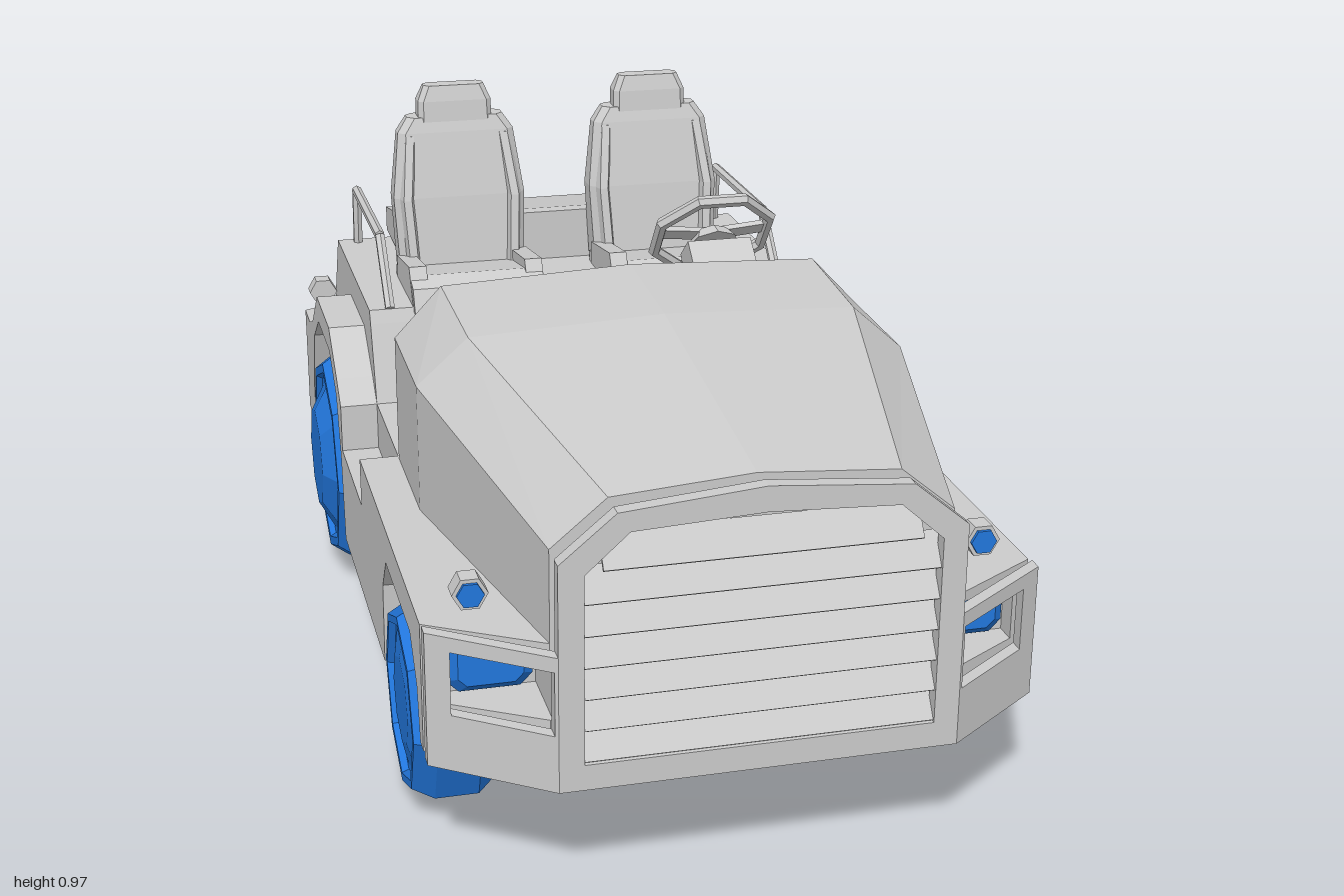
import * as THREE from 'three';

const grey = new THREE.MeshStandardMaterial({ color: 0xcccccc, flatShading: true, side: THREE.DoubleSide });
const blue = new THREE.MeshStandardMaterial({ color: 0x2277dd, flatShading: true });
const V = (x, y, z) => new THREE.Vector3(x, y, z);

function add(parent, name, geo, mat = grey) {
  const m = new THREE.Mesh(geo, mat);
  m.name = name;
  parent.add(m);
  return m;
}
const shapeOf = pts => new THREE.Shape(pts.map(p => new THREE.Vector2(p[0], p[1])));
const extrude = (shape, depth) => new THREE.ExtrudeGeometry(shape, { depth, bevelEnabled: false });
// profile of [z, y] points extruded from x0 to x1
const side = (pts, x0, x1) => extrude(shapeOf(pts), x1 - x0).rotateY(-Math.PI / 2).translate(x1, 0, 0);
// plan of [x, z] points extruded from y0 to y1
const plan = (pts, y0, y1) => extrude(shapeOf(pts.map(p => [p[0], -p[1]])), y1 - y0).rotateX(-Math.PI / 2).translate(0, y0, 0);
const mirrored = pts => [...pts, ...pts.map(p => [-p[0], p[1]]).reverse()];
const box = (x0, x1, y0, y1, z0, z1) =>
  new THREE.BoxGeometry(x1 - x0, y1 - y0, z1 - z0).translate((x0 + x1) / 2, (y0 + y1) / 2, (z0 + z1) / 2);

// straight round bar between two points
function bar(a, b, r, n = 6) {
  const d = b.clone().sub(a);
  const q = new THREE.Quaternion().setFromUnitVectors(V(0, 1, 0), d.clone().normalize());
  const mid = a.clone().add(b).multiplyScalar(0.5);
  return new THREE.CylinderGeometry(r, r, d.length(), n).applyQuaternion(q).translate(mid.x, mid.y, mid.z);
}

// skin through equal rings, closed at both ends
function loft(rings) {
  const pos = [], n = rings[0].length;
  const tri = (...ps) => ps.forEach(p => pos.push(p.x, p.y, p.z));
  for (let i = 0; i < rings.length - 1; i++)
    for (let j = 0; j < n; j++) {
      const k = (j + 1) % n, [p, q] = [rings[i], rings[i + 1]];
      tri(p[j], p[k], q[k]);
      tri(p[j], q[k], q[j]);
    }
  const first = rings[0], last = rings[rings.length - 1];
  for (let j = 1; j < n - 1; j++) {
    tri(first[0], first[j + 1], first[j]);
    tri(last[0], last[j], last[j + 1]);
  }
  const g = new THREE.BufferGeometry();
  g.setAttribute('position', new THREE.Float32BufferAttribute(pos, 3));
  g.computeVertexNormals();
  return g;
}
// upright loft with chamfered rings: [y, half width, z centre, half depth]
const cushionLoft = (rows, c = 0.014) => loft(rows.map(([y, w, z, d]) => [
  [w, d - c], [w, c - d], [w - c, -d], [c - w, -d], [-w, c - d], [-w, d - c], [c - w, d], [w - c, d],
].map(([px, pz]) => V(px, y, z + pz))));

// eight-sided wheel; dome is how far the hub stands out past the tyre
function wheel(name, R, h, dome, x, y, z) {
  const g = new THREE.Group();
  g.name = name;
  const pts = [[0, -h], [0.82 * R, -h], [R, -h * 0.5], [R, h * 0.5], [0.88 * R, h], [0.8 * R, h],
    [0.77 * R, h - 0.012], [0.71 * R, h - 0.012], [0.45 * R, h + dome], [0, h + dome]];
  add(g, 'tyreAndHub', new THREE.LatheGeometry(pts.map(p => new THREE.Vector2(...p)), 8).rotateZ(-Math.PI / 2), blue);
  g.position.set(x, y, z);
  if (x < 0) g.rotation.y = Math.PI;
  return g;
}

function seat(x) {
  const g = new THREE.Group();
  g.name = 'seat';
  add(g, 'seatCushion', side([[-0.16, 0.59], [-0.18, 0.635], [-0.22, 0.65], [-0.4, 0.62], [-0.4, 0.59]], -0.13, 0.13));
  add(g, 'seatBack', cushionLoft([[0.6, 0.125, -0.395, 0.042], [0.76, 0.132, -0.411, 0.036],
    [0.885, 0.116, -0.432, 0.028], [0.914, 0.096, -0.437, 0.024]]));
  add(g, 'headrest', cushionLoft([[0.905, 0.074, -0.436, 0.026], [0.945, 0.073, -0.44, 0.026], [0.975, 0.06, -0.44, 0.018]], 0.01));
  for (const s of [-1, 1]) {
    const back = [[0.61, 0.1, -0.37, 0.034], [0.76, 0.108, -0.388, 0.028], [0.88, 0.094, -0.42, 0.018]];
    add(g, 'backBolster', loft(back.map(([y, px, z, d]) => [[0.018, 0], [0.01, -d], [-0.012, -d], [-0.016, 0], [-0.008, d], [0.008, d]]
      .map(([ox, oz]) => V(s * px + ox, y, z + oz)))));
    add(g, 'cushionBolster', side([[-0.18, 0.6], [-0.22, 0.668], [-0.38, 0.645], [-0.38, 0.6]], -0.017, 0.017).translate(s * 0.114, 0, 0));
  }
  g.position.x = x;
  return g;
}

export function createModel() {
  const root = new THREE.Group();
  root.name = 'towTractor';

  // lower body: centre, nose with lamp pockets, tail
  add(root, 'chassis', side([[0.83, 0.21], [0.78, 0.21], [0.68, 0.15], [-0.45, 0.15], [-0.58, 0.21], [-0.66, 0.21], [-0.66, 0.43], [0.83, 0.43]], -0.3, 0.3));
  const nose = mirrored([[0.5, 0.8], [0.5, 0.83], [0.32, 0.94]]);
  add(root, 'noseLower', plan(nose, 0.21, 0.3));
  add(root, 'noseUpper', plan(nose, 0.412, 0.43));
  add(root, 'noseMiddle', plan(mirrored([[0.5, 0.8], [0.5, 0.83], [0.468, 0.85], [0.468, 0.812], [0.316, 0.812], [0.316, 0.94]]), 0.3, 0.412));
  add(root, 'tail', plan(mirrored([[0.5, -0.64], [0.5, -0.72], [0.42, -0.76]]), 0.21, 0.43));

  // body sides with wheel arches; the outer layer has the step notch
  const arches = [[0.8, 0.43], [0.8, 0.21], [0.78, 0.3], [0.72, 0.365], [0.46, 0.365], [0.41, 0.3], [0.4, 0.15],
    [-0.13, 0.15], [-0.15, 0.32], [-0.19, 0.43], [-0.28, 0.49], [-0.46, 0.49], [-0.55, 0.43], [-0.6, 0.3], [-0.6, 0.21],
    [-0.64, 0.21], [-0.64, 0.43], [-0.58, 0.45], [-0.47, 0.54], [-0.27, 0.54], [-0.17, 0.47], [-0.12, 0.43]];
  const step = [[-0.12, 0.34], [0.15, 0.34], [0.15, 0.43]];
  // rear deck, with wheel clearance in its outer parts
  const deck = [[-0.12, 0.43], [-0.17, 0.575], [-0.18, 0.6], [-0.66, 0.6], [-0.76, 0.43]];
  const clearance = [[-0.55, 0.43], [-0.46, 0.49], [-0.28, 0.49], [-0.19, 0.43]];
  add(root, 'rearDeck', side(deck, -0.33, 0.33));
  for (const s of [-1, 1]) {
    const strip = (pts, a, b) => side(pts, Math.min(s * a, s * b), Math.max(s * a, s * b));
    add(root, 'innerFender', strip(arches, 0.3, 0.43));
    add(root, 'outerFender', strip([...arches, ...step], 0.43, 0.5));
    add(root, 'deckSide', strip([...deck, ...clearance], 0.33, 0.43));
  }

  // cargo cover and tunnel
  add(root, 'cargoCover', side([[-0.43, 0.6], [-0.43, 0.7], [-0.46, 0.7], [-0.7, 0.655], [-0.7, 0.605]], -0.32, 0.32));
  add(root, 'centreTunnel', box(-0.05, 0.045, 0.43, 0.57, -0.17, 0.17));

  // hood: [z, half width, crease y, top half width, top edge y, crown y]
  add(root, 'hood', loft([[0.16, 0.43, 0.66, 0.345, 0.75, 0.765], [0.4, 0.43, 0.655, 0.34, 0.735, 0.75], [0.94, 0.32, 0.585, 0.23, 0.66, 0.677]]
    .map(([z, w, yc, wt, yt, ym]) => [[-w, 0.42], [w, 0.42], [w, yc], [wt, yt], [0, ym], [-wt, yt], [-w, yc]].map(p => V(p[0], p[1], z)))));

  // grille guard with slanted slats and folded side wings
  const guard = new THREE.Group();
  guard.name = 'grilleGuard';
  root.add(guard);
  const frame = shapeOf(mirrored([[0.32, 0.207], [0.32, 0.585], [0.23, 0.66], [0, 0.68]]));
  frame.holes.push(shapeOf(mirrored([[0.28, 0.25], [0.28, 0.565], [0.21, 0.628], [0, 0.638]])));
  add(guard, 'grilleFrame', extrude(frame, 0.025).translate(0, 0, 0.975));
  for (let i = 0; i < 7; i++)
    add(guard, 'grilleSlat', new THREE.BoxGeometry(i === 6 ? 0.5 : 0.57, 0.06, 0.006).rotateX(-0.6)
      .translate(0, 0.276 + i * 0.0525, 0.977));
  for (const s of [-1, 1]) {
    const wing = shapeOf([[0.32, 0.207], [0.5, 0.207], [0.5, 0.435], [0.32, 0.435]].map(p => [s * p[0], p[1]]));
    wing.holes.push(shapeOf([[0.325, 0.303], [0.325, 0.41], [0.465, 0.41], [0.465, 0.303]].map(p => [s * p[0], p[1]])));
    const g = extrude(wing, 0.025), p = g.attributes.position;
    for (let i = 0; i < p.count; i++) p.setZ(i, p.getZ(i) + 0.975 - (Math.abs(p.getX(i)) - 0.32) * 0.72);
    g.computeVertexNormals();
    add(guard, 'guardWing', g);

    // headlight with chamfered lens, set back in its pocket
    const lens = [[0, 0.069, 0.053, 0.02], [0.014, 0.069, 0.053, 0.02], [0.03, 0.052, 0.038, 0.014]].map(([z, w, h, c]) =>
      [[w, c - h], [w, h - c], [w - c, h], [c - w, h], [-w, h - c], [-w, c - h], [c - w, -h], [w - c, -h]].map(q => V(q[0], q[1], z)));
    add(root, 'headlight', loft(lens).translate(s * 0.392, 0.357, 0.81), blue);

    // small marker lamps front and rear
    for (const [x, z, dir] of [[0.42, 0.81, 1], [0.46, -0.73, -1]]) {
      const cyl = r => new THREE.CylinderGeometry(r, r, 0.035, 6).rotateX(Math.PI / 2).rotateZ(Math.PI / 6);
      add(root, 'lampHousing', cyl(0.029).translate(s * x, 0.47, z));
      add(root, 'lampLens', cyl(0.022).translate(s * x, 0.47, z + dir * 0.006), blue);
    }

    // side rail
    const rail = [V(s * 0.39, 0.6, -0.18), V(s * 0.39, 0.715, -0.29), V(s * 0.39, 0.715, -0.63), V(s * 0.39, 0.59, -0.64)];
    for (let i = 0; i < 3; i++) add(root, 'sideRail', bar(rail[i], rail[i + 1], 0.01));

    root.add(wheel('frontWheel', 0.173, 0.073, -0.002, s * 0.43, 0.175, 0.592));
    root.add(wheel('rearWheel', 0.226, 0.073, 0.02, s * 0.432, 0.23, -0.372));
  }

  // seats, steering and pedals
  root.add(seat(-0.214), seat(0.185));
  add(root, 'steeringColumn', side([[0.17, 0.58], [0.17, 0.7], [0.08, 0.775], [0.03, 0.735]], 0.13, 0.25));
  const steer = new THREE.Group();
  steer.name = 'steeringWheel';
  add(steer, 'rim', new THREE.TorusGeometry(0.112, 0.012, 6, 8).rotateZ(Math.PI / 8));
  add(steer, 'hub', new THREE.CylinderGeometry(0.035, 0.05, 0.025, 8).rotateX(-Math.PI / 2).translate(0, -0.01, 0.01));
  for (const a of [0.15, Math.PI - 0.15, -Math.PI / 2])
    add(steer, 'spoke', new THREE.BoxGeometry(0.1, 0.026, 0.01).translate(0.06, 0, 0).rotateZ(a));
  steer.position.set(0.19, 0.771, 0.03);
  steer.rotation.x = 0.675;
  root.add(steer);
  for (const x of [0.14, 0.24]) add(root, 'pedal', new THREE.BoxGeometry(0.05, 0.01, 0.06).rotateX(-0.55).translate(x, 0.465, 0.135));

  // rear bumper and tow hitch
  add(root, 'rearBumper', box(-0.42, 0.42, 0.21, 0.3, -0.795, -0.75));
  add(root, 'hitchBrace', plan(mirrored([[0.26, -0.79], [0.06, -0.87]]), 0.238, 0.278));
  add(root, 'hitchPlate', box(-0.065, 0.065, 0.22, 0.3, -0.895, -0.865));
  add(root, 'hitchPost', box(-0.022, 0.022, 0.2, 0.36, -0.89, -0.865));
  for (const y of [0.21, 0.275])
    add(root, 'hitchJaw', plan(mirrored([[0.052, -0.885], [0.042, -0.935], [0.022, -0.985]]), y, y + 0.014));
  add(root, 'hitchPin', bar(V(0, 0.19, -0.975), V(0, 0.35, -0.975), 0.011, 8));
  add(root, 'pinHandle', box(-0.032, 0.032, 0.332, 0.346, -0.985, -0.965));
  add(root, 'jawLip', box(-0.022, 0.022, 0.215, 0.285, -1, -0.988));
  return root;
}
